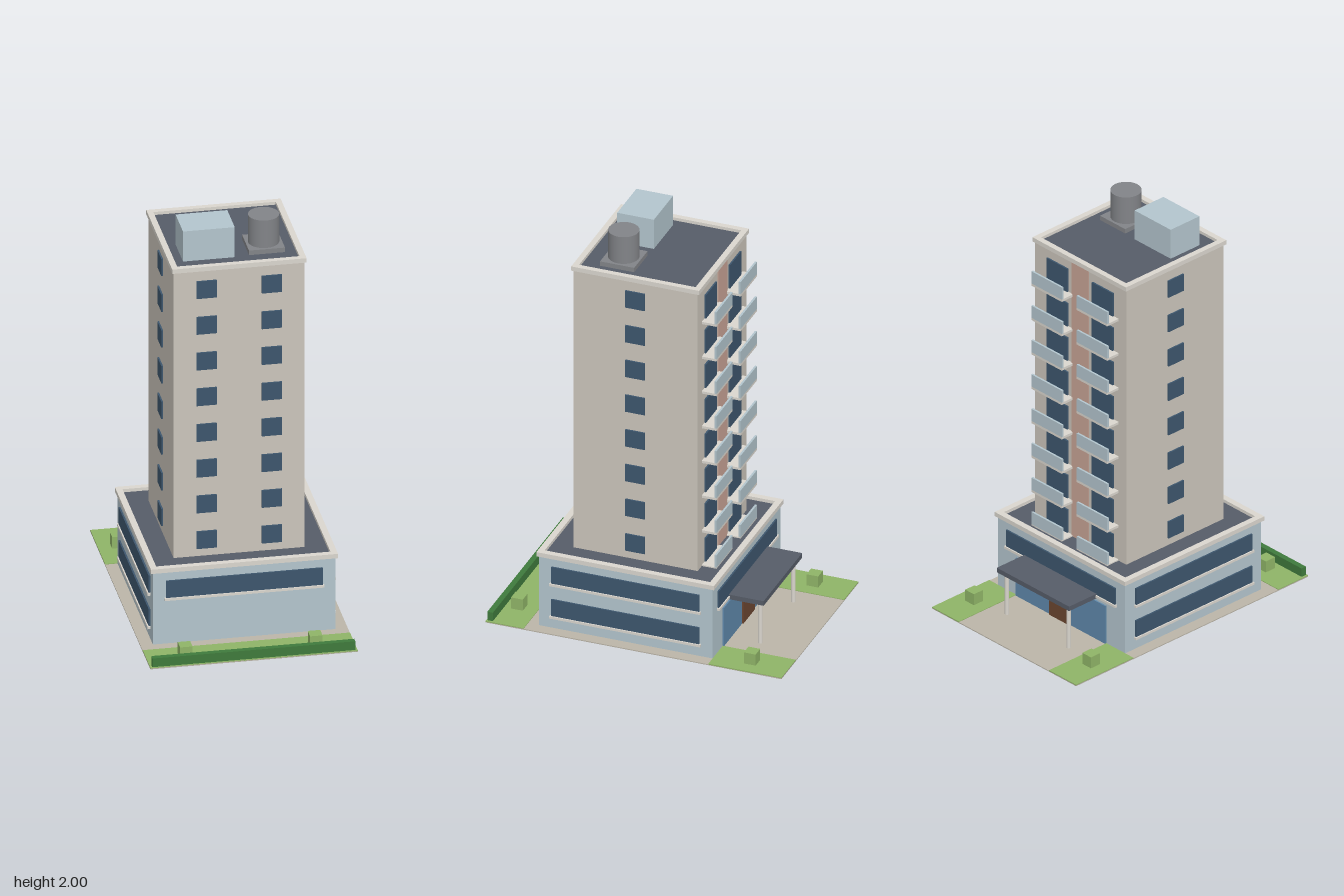
import * as THREE from 'three';

const mat = (color) => new THREE.MeshStandardMaterial({ color });
const M = {
  paving: mat(0xbbb5a8), grass: mat(0x8fb467), hedge: mat(0x3f7a3c), bush: mat(0x8fb467),
  wall: mat(0xcbc5bb), podium: mat(0xb3c5cd), glass: mat(0x3d566d), entrance: mat(0x5f88ab),
  roof: mat(0x565c68), trim: mat(0xdad6ce), accent: mat(0xc7a395), metal: mat(0x828488),
  door: mat(0x6b4630),
};

// Box given by its min and max on each axis
function box(parent, name, material, [x0, x1], [y0, y1], [z0, z1]) {
  const mesh = new THREE.Mesh(new THREE.BoxGeometry(x1 - x0, y1 - y0, z1 - z0), material);
  mesh.position.set((x0 + x1) / 2, (y0 + y1) / 2, (z0 + z1) / 2);
  mesh.name = name;
  parent.add(mesh);
  return mesh;
}

function cylinder(parent, name, material, r, x, z, [y0, y1], sides) {
  const mesh = new THREE.Mesh(new THREE.CylinderGeometry(r, r, y1 - y0, sides), material);
  mesh.position.set(x, (y0 + y1) / 2, z);
  mesh.name = name;
  parent.add(mesh);
}

// Rectangular ring around a flat roof
function parapet(parent, name, hx, [z0, z1], [y0, y1], w) {
  const rect = (P, i) => {
    const p = new P();
    p.moveTo(-hx + i, -z1 + i).lineTo(hx - i, -z1 + i).lineTo(hx - i, -z0 - i).lineTo(-hx + i, -z0 - i);
    p.closePath();
    return p;
  };
  const shape = rect(THREE.Shape, 0);
  shape.holes.push(rect(THREE.Path, w));
  const geo = new THREE.ExtrudeGeometry(shape, { depth: y1 - y0, bevelEnabled: false });
  geo.rotateX(-Math.PI / 2);
  const mesh = new THREE.Mesh(geo, M.trim);
  mesh.position.y = y0;
  mesh.name = name;
  parent.add(mesh);
}

function group(parent, name) {
  const g = new THREE.Group();
  g.name = name;
  parent.add(g);
  return g;
}

export function createModel() {
  const model = new THREE.Group();
  model.name = 'apartmentTower';

  // Site: paving, lawns, hedge and shrubs
  const site = group(model, 'site');
  box(site, 'paving', M.paving, [-0.483, 0.483], [0, 0.005], [-0.727, 0.727]);
  box(site, 'frontLawn', M.grass, [-0.483, 0.483], [0.003, 0.008], [0.54, 0.727]);
  box(site, 'hedge', M.hedge, [-0.473, 0.473], [0.005, 0.052], [0.695, 0.722]);
  for (const s of [-1, 1]) {
    const xs = [s * 0.302, s * 0.483].sort((a, b) => a - b);
    box(site, 'backLawn', M.grass, xs, [0.003, 0.008], [-0.727, -0.368]);
    for (const [x, z] of [[s * 0.303, 0.632], [s * 0.392, -0.547]])
      box(site, 'shrub', M.bush, [x - 0.029, x + 0.029], [0.005, 0.066], [z - 0.029, z + 0.029]);
  }

  // Podium with roof edge
  const podium = group(model, 'podium');
  box(podium, 'podiumBody', M.podium, [-0.425, 0.425], [0.005, 0.37], [-0.366, 0.486]);
  box(podium, 'podiumRoof', M.roof, [-0.42, 0.42], [0.368, 0.376], [-0.36, 0.48]);
  parapet(podium, 'podiumParapet', 0.436, [-0.377, 0.496], [0.37, 0.392], 0.03);

  // Ribbon windows with sills
  for (const z of [-0.366, 0.486]) {
    box(podium, 'ribbonWindow', M.glass, [-0.365, 0.365], [0.24, 0.326], [z - 0.008, z + 0.008]);
    box(podium, 'ribbonSill', M.trim, [-0.372, 0.372], [0.228, 0.24], [z - 0.014, z + 0.014]);
  }
  for (const x of [-0.425, 0.425]) {
    for (const y of [0.07, 0.24]) {
      box(podium, 'ribbonWindow', M.glass, [x - 0.008, x + 0.008], [y, y + 0.086], [-0.303, 0.425]);
      box(podium, 'ribbonSill', M.trim, [x - 0.014, x + 0.014], [y - 0.012, y], [-0.31, 0.432]);
    }
  }

  // Entrance with canopy
  const entrance = group(model, 'entrance');
  box(entrance, 'entranceGlazing', M.entrance, [-0.3, 0.3], [0.005, 0.205], [-0.373, -0.36]);
  box(entrance, 'entranceDoor', M.door, [-0.072, 0.072], [0.005, 0.185], [-0.379, -0.36]);
  box(entrance, 'canopy', M.roof, [-0.242, 0.242], [0.222, 0.246], [-0.545, -0.36]);
  for (const x of [-0.207, 0.207])
    cylinder(entrance, 'canopyPost', M.trim, 0.011, x, -0.515, [0.005, 0.222], 12);

  // Tower with roof edge
  const tower = group(model, 'tower');
  box(tower, 'towerBody', M.wall, [-0.305, 0.305], [0.37, 1.832], [-0.246, 0.364]);
  box(tower, 'towerRoof', M.roof, [-0.3, 0.3], [1.83, 1.837], [-0.241, 0.359]);
  parapet(tower, 'towerParapet', 0.313, [-0.256, 0.373], [1.83, 1.852], 0.028);
  box(tower, 'accentStrip', M.accent, [-0.057, 0.057], [0.376, 1.83], [-0.25, -0.24]);

  // Floors: windows on three sides, balconies on the back
  for (let floor = 0; floor < 8; floor++) {
    const y = 0.415 + floor * 0.1822;
    const level = group(tower, 'floor' + (floor + 1));
    for (const s of [-1, 1]) {
      const cx = s * 0.152;
      box(level, 'frontWindow', M.glass, [cx - 0.047, cx + 0.047], [y, y + 0.088], [0.355, 0.372]);
      const sx = s * 0.305;
      box(level, 'sideWindow', M.glass, [sx - 0.008, sx + 0.008], [y, y + 0.088], [0.012, 0.108]);
      box(level, 'balconyDoor', M.glass, [cx - 0.07, cx + 0.07], [y - 0.032, y + 0.09], [-0.254, -0.24]);
      const bx = [cx - 0.102, cx + 0.102];
      box(level, 'balconySlab', M.trim, bx, [y - 0.045, y - 0.033], [-0.318, -0.24]);
      box(level, 'balconyRailing', M.podium, bx, [y - 0.033, y + 0.031], [-0.318, -0.308]);
    }
  }

  // Rooftop plant room and water tank
  const plant = group(model, 'rooftop');
  box(plant, 'plantRoom', M.podium, [-0.243, -0.002], [1.832, 1.99], [0.09, 0.27]);
  box(plant, 'tankBase', M.metal, [0.066, 0.234], [1.832, 1.86], [0.094, 0.262]);
  cylinder(plant, 'waterTank', M.metal, 0.072, 0.15, 0.178, [1.86, 2], 24);

  return model;
}
